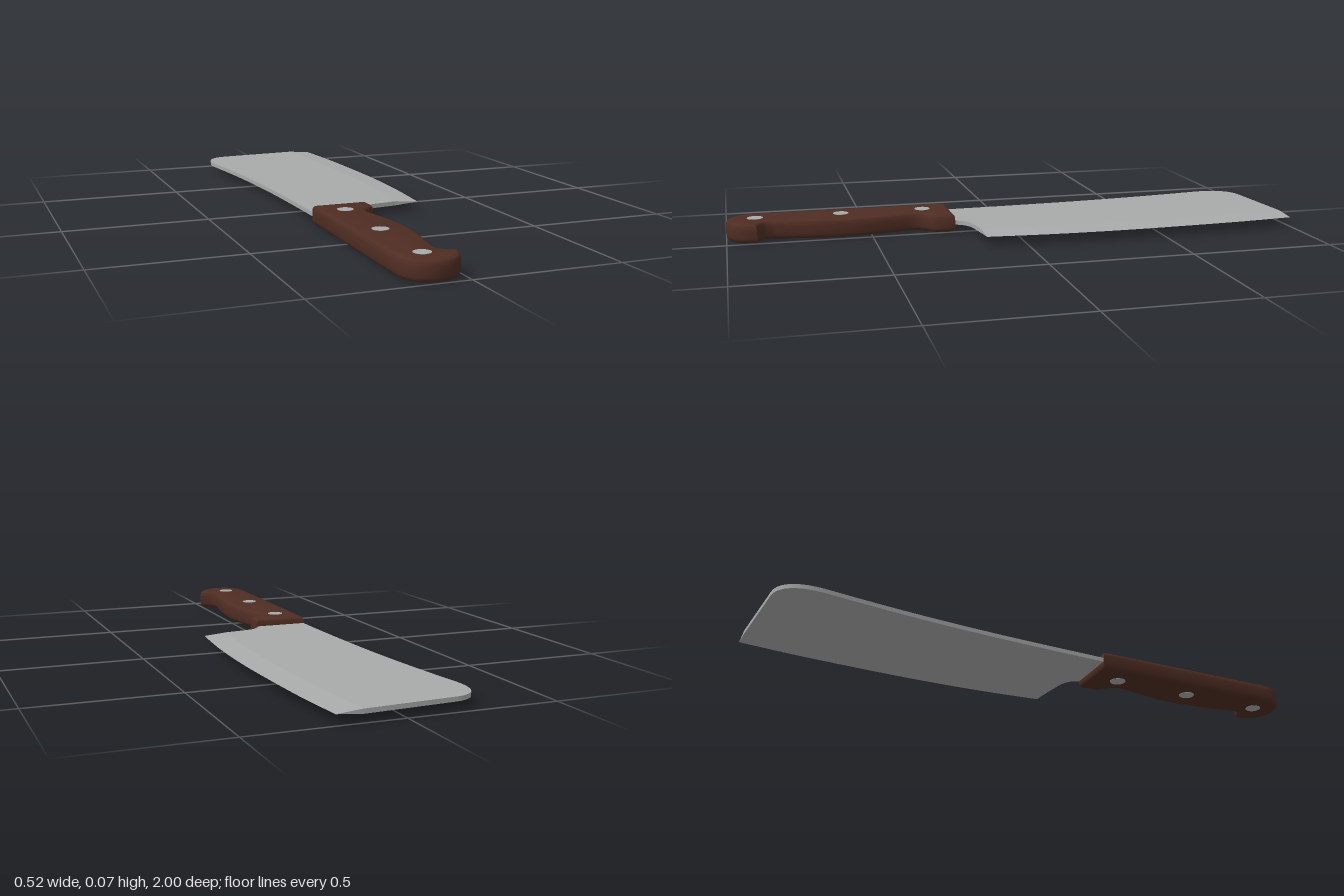
import * as THREE from 'three';
import { toCreasedNormals } from 'three/addons/utils/BufferGeometryUtils.js';

const MID = 0.034; // height of the centre plane
const HALF = 0.0075; // half thickness of the blade
const GRIND = 0.085; // width of the sharpened strip

// Extrude an outline drawn in x/z so that it lies flat around the centre plane
function slab(shape, thickness, bevel = 0, bevelHeight = 0) {
  const depth = thickness - 2 * bevelHeight;
  const geo = new THREE.ExtrudeGeometry(shape, {
    depth, curveSegments: 10, bevelEnabled: bevel > 0, bevelSize: bevel,
    bevelThickness: bevelHeight, bevelOffset: -bevel, bevelSegments: 3,
  });
  geo.translate(0, 0, -depth / 2);
  geo.rotateX(Math.PI / 2);
  geo.translate(0, MID, 0);
  return toCreasedNormals(geo, 0.65);
}

// Thin wedge running from the blade body to the cutting edge
function wedge(edge) {
  const pos = [];
  const tri = (...pts) => pts.forEach((p) => pos.push(...p));
  const rows = edge.map((p) => ({
    top: [p.x - GRIND, MID + HALF, p.y],
    bottom: [p.x - GRIND, MID - HALF, p.y],
    tip: [p.x, MID, p.y],
  }));
  for (let i = 0; i < rows.length - 1; i++) {
    const a = rows[i], b = rows[i + 1];
    tri(a.top, b.top, a.tip);
    tri(b.top, b.tip, a.tip);
    tri(a.bottom, a.tip, b.bottom);
    tri(b.bottom, a.tip, b.tip);
  }
  const first = rows[0], last = rows[rows.length - 1];
  tri(first.top, first.tip, first.bottom);
  tri(last.top, last.bottom, last.tip);
  const geo = new THREE.BufferGeometry();
  geo.setAttribute('position', new THREE.Float32BufferAttribute(pos, 3));
  return toCreasedNormals(geo, 0.5);
}

export function createModel() {
  const group = new THREE.Group();
  const material = (name, color) => {
    const m = new THREE.MeshStandardMaterial({ color });
    m.name = name;
    return m;
  };
  const steel = material('steel', 0xa9abaa);
  const wood = material('dark wood', 0x4f2d23);
  const add = (name, geo, mat) => {
    const mesh = new THREE.Mesh(geo, mat);
    mesh.name = name;
    group.add(mesh);
    return mesh;
  };

  // Bowed cutting edge, tip to heel
  const edge = new THREE.SplineCurve([
    [0.222, -1], [0.241, -0.78], [0.253, -0.5], [0.256, -0.3], [0.25, -0.08], [0.232, 0.142],
  ].map(([x, z]) => new THREE.Vector2(x, z))).getPoints(20);

  // Blade body: spine, rounded far corner, ground line, heel and tang
  const body = new THREE.Shape();
  body.moveTo(-0.188, 0.25);
  body.lineTo(-0.188, 0.2);
  body.bezierCurveTo(-0.196, -0.2, -0.205, -0.45, -0.258, -0.83);
  body.bezierCurveTo(-0.268, -0.92, -0.235, -0.975, -0.17, -0.98);
  edge.forEach((p) => body.lineTo(p.x - GRIND, p.y));
  body.lineTo(0.07, 0.153);
  body.quadraticCurveTo(0.015, 0.16, 0.0, 0.205);
  body.lineTo(-0.01, 0.25);
  body.closePath();
  add('bladeBody', slab(body, HALF * 2), steel);
  add('cuttingEdge', wedge(edge), steel);

  // Heel corner continues the slanted end to the sharp edge
  // Handle: straight back, finger notch, swelling grip and hooked butt
  const grip = new THREE.Shape();
  grip.moveTo(-0.191, 0.205);
  grip.lineTo(0.004, 0.205);
  grip.lineTo(0.004, 0.272);
  grip.bezierCurveTo(-0.012, 0.3, -0.052, 0.31, -0.046, 0.36);
  grip.bezierCurveTo(-0.025, 0.46, -0.014, 0.53, -0.015, 0.6);
  grip.bezierCurveTo(-0.016, 0.7, -0.036, 0.78, -0.046, 0.85);
  grip.bezierCurveTo(-0.044, 0.882, -0.022, 0.885, 0.004, 0.897);
  grip.bezierCurveTo(0.0, 0.96, -0.045, 1.0, -0.098, 1.0);
  grip.bezierCurveTo(-0.155, 1.0, -0.191, 0.96, -0.194, 0.9);
  grip.closePath();
  add('handle', slab(grip, 0.066, 0.014, 0.016), wood);

  // Three rivets through the handle, flush on both faces
  for (const z of [0.305, 0.6, 0.9]) {
    const rivet = add('rivet', new THREE.CylinderGeometry(0.028, 0.028, 0.068, 20), steel);
    rivet.position.set(-0.11, MID, z);
  }
  return group;
}
